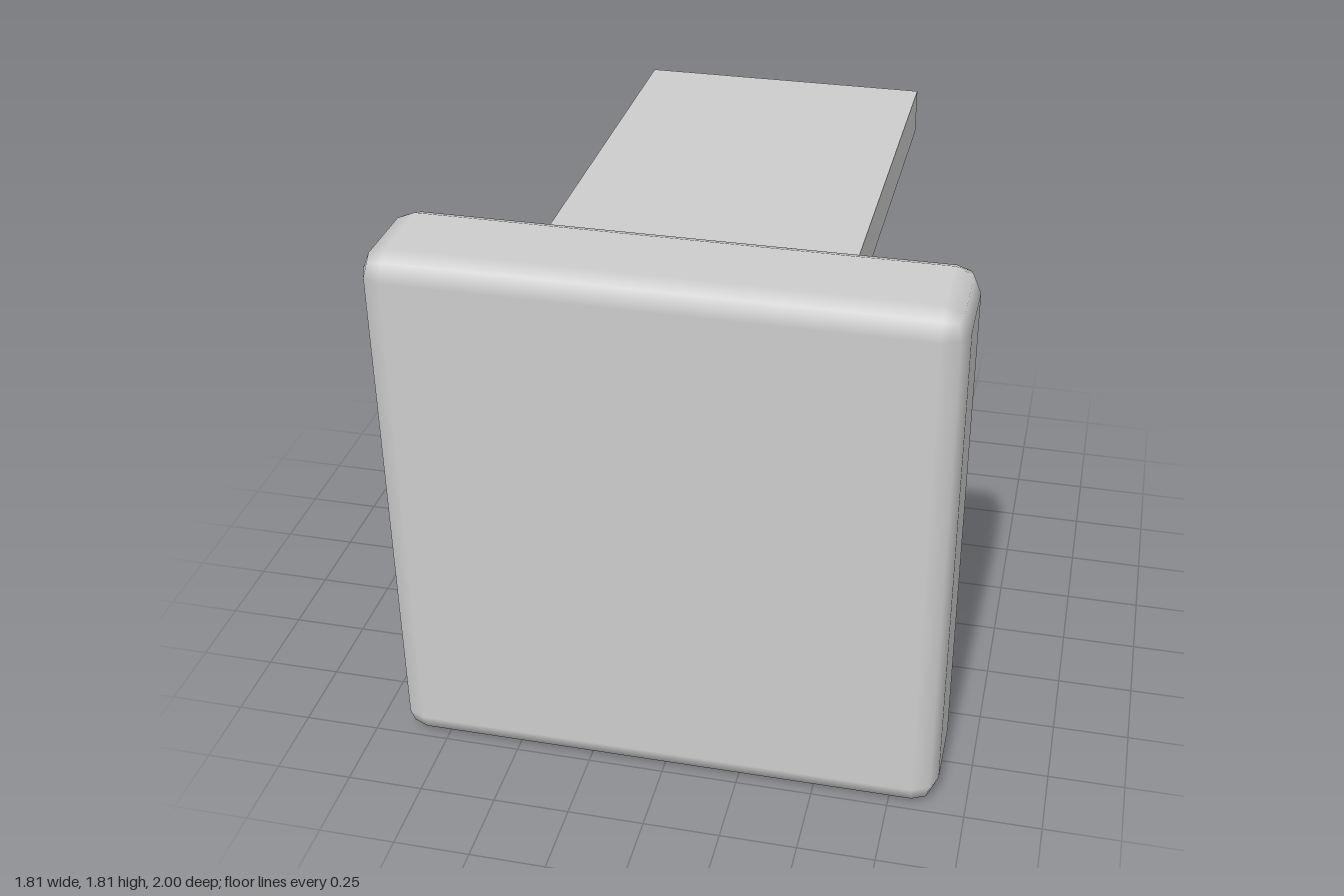
import * as THREE from 'three';
import { RoundedBoxGeometry } from 'three/addons/geometries/RoundedBoxGeometry.js';

export function createModel() {
  const model = new THREE.Group();
  model.name = 'cap';
  const gray = new THREE.MeshStandardMaterial({ color: 0xcccccc });
  gray.name = 'light gray';

  // Square front block with softly bevelled edges
  const size = 1.81;
  const block = new THREE.Mesh(new RoundedBoxGeometry(size, size, 0.4, 1, 0.08), gray);
  block.name = 'frontBlock';
  block.position.set(0, size / 2, 0.8);
  model.add(block);

  // Two flat prongs reaching back from the block
  const prongGeometry = new THREE.BoxGeometry(1, 0.16, 1.6);
  for (const [name, y] of [['lowerProng', 0.245], ['upperProng', 1.57]]) {
    const prong = new THREE.Mesh(prongGeometry, gray);
    prong.name = name;
    prong.position.set(0, y, -0.2);
    model.add(prong);
  }
  return model;
}
